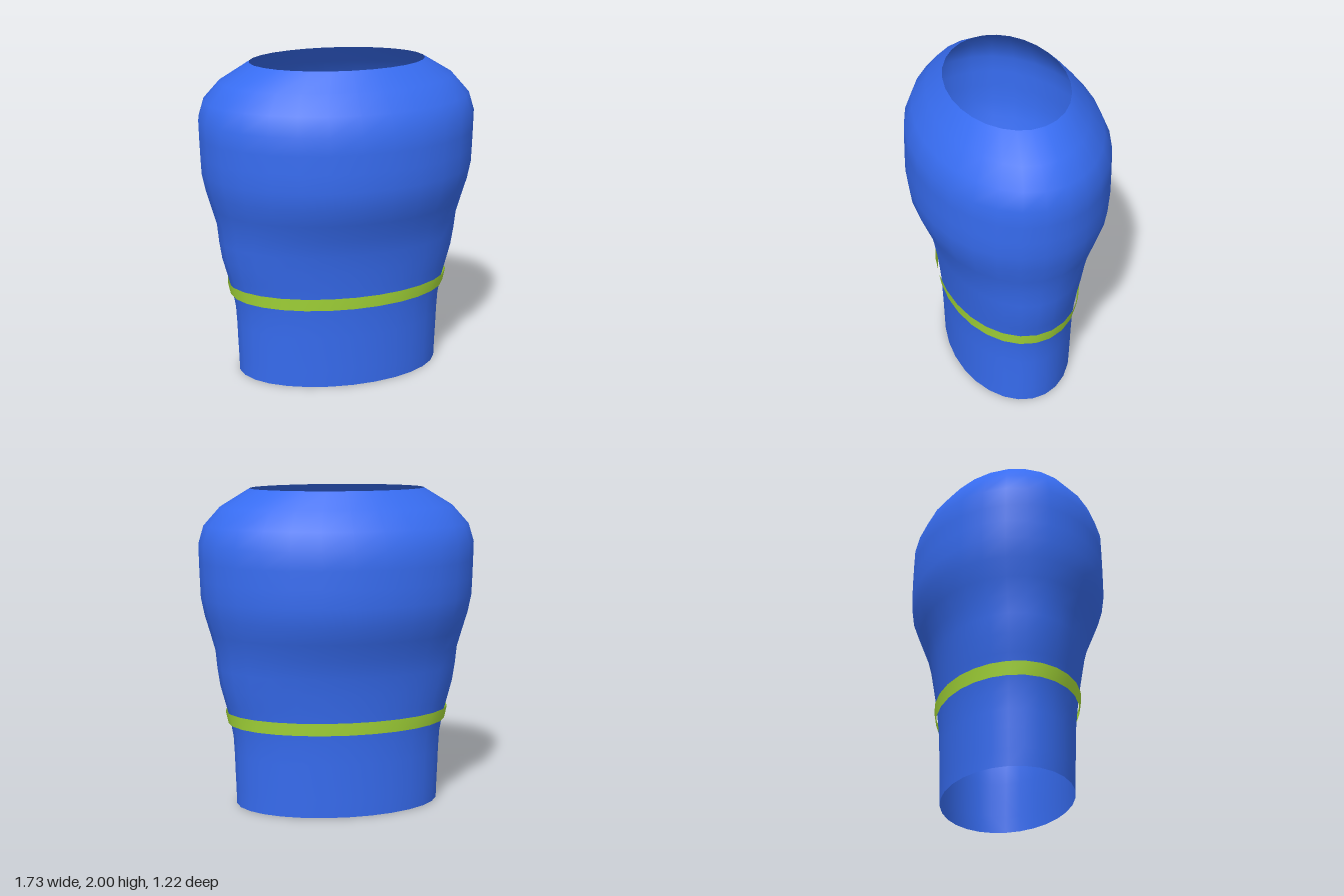
import * as THREE from 'three';
import { mergeVertices } from 'three/addons/utils/BufferGeometryUtils.js';

const SIDES = 28;

// Open elliptical tube: evenly spaced rings from y0 to y1, each [half width, half depth].
function ovalTube(name, rings, y0, y1, color) {
  const rows = rings.length - 1;
  let geometry = new THREE.CylinderGeometry(1, 1, 1, SIDES, rows, true);
  const pos = geometry.attributes.position;
  for (let i = 0; i < pos.count; i++) {
    const t = pos.getY(i) + 0.5;
    const [rx, rz] = rings[Math.round(t * rows)];
    pos.setXYZ(i, pos.getX(i) * rx, y0 + t * (y1 - y0), pos.getZ(i) * rz);
  }
  // Weld the seam so the shading is smooth all round
  geometry.deleteAttribute('uv');
  geometry.deleteAttribute('normal');
  geometry = mergeVertices(geometry, 1e-5);
  geometry.computeVertexNormals();
  const material = new THREE.MeshStandardMaterial({ color, side: THREE.DoubleSide });
  const mesh = new THREE.Mesh(geometry, material);
  mesh.name = name;
  return mesh;
}

export function createModel() {
  const model = new THREE.Group();
  model.name = 'garmentTorso';

  // Sleeveless body: straight hem, waist, full chest, rounded shoulders, open neck
  const bodyRings = [
    [0.65, 0.4], [0.653, 0.403], [0.657, 0.406], [0.66, 0.41], [0.666, 0.414],
    [0.685, 0.424], [0.715, 0.437], [0.744, 0.455], [0.76, 0.474], [0.77, 0.504],
    [0.8, 0.55], [0.832, 0.595], [0.854, 0.61], [0.858, 0.609], [0.861, 0.606],
    [0.863, 0.602], [0.83, 0.552], [0.73, 0.463], [0.545, 0.365],
  ];
  model.add(ovalTube('body', bodyRings, 0, 2, 0x376cf0));

  // Flared waistband
  model.add(ovalTube('waistBand', [[0.696, 0.435], [0.713, 0.447]], 0.53, 0.61, 0xa8dc3a));

  return model;
}
